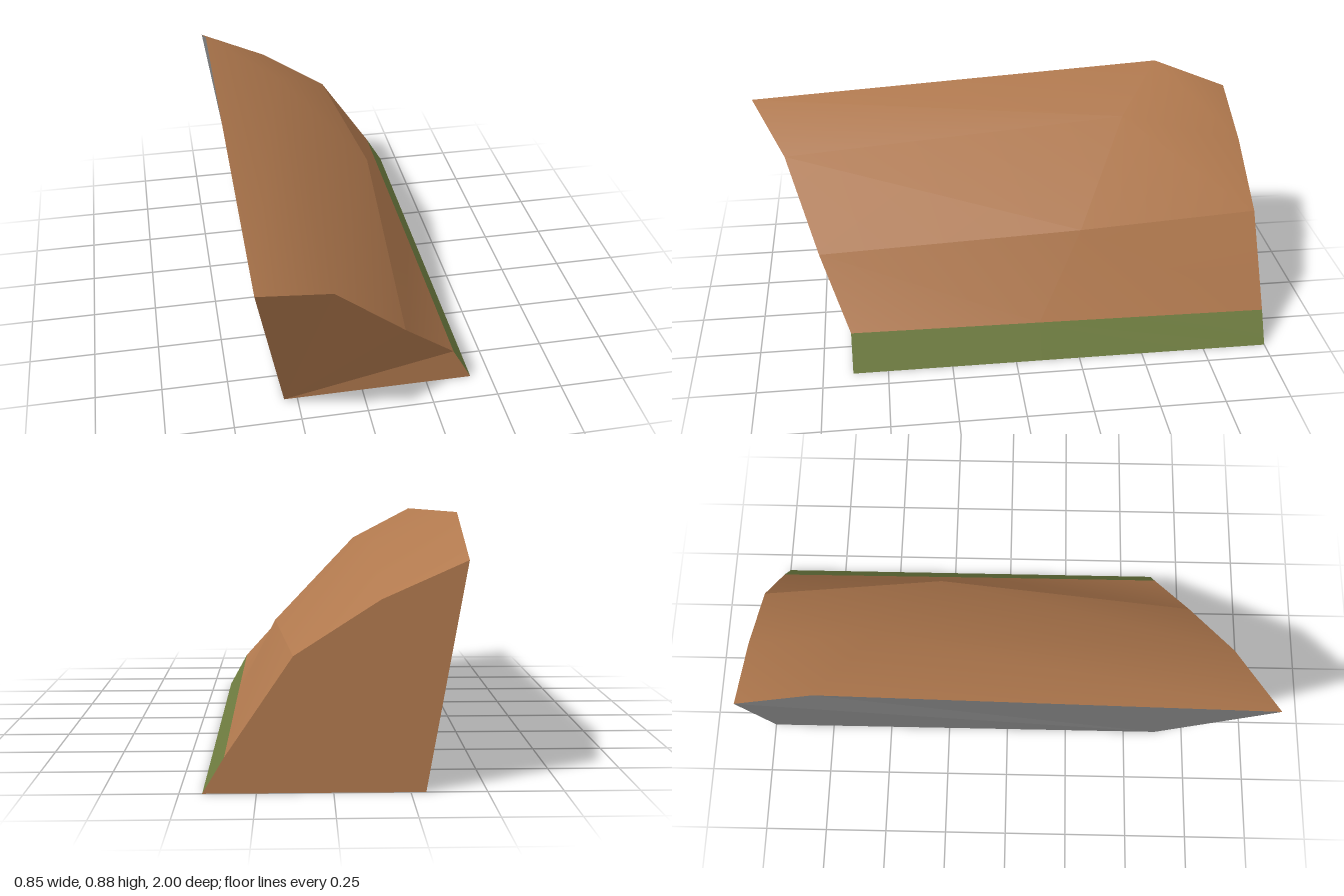
import * as THREE from 'three';

const bark = new THREE.MeshStandardMaterial({ color: 0xb1794e });
bark.name = 'earthBrown';
const grass = new THREE.MeshStandardMaterial({ color: 0x6f7d40 });
grass.name = 'grassGreen';
const stone = new THREE.MeshStandardMaterial({ color: 0x868686 });
stone.name = 'plainGrey';

// Cross-sections from crest to foot, front to back
const rows = [
  [[-0.427, 0.79, 1], [-0.15, 0.66, 0.865], [0.13, 0.365, 0.745], [0.35, 0.137, 0.635], [0.425, 0, 0.635]],
  [[-0.427, 0.885, -0.69], [-0.15, 0.765, -0.5], [0.2, 0.45, -0.28], [0.352, 0.13, -0.1], [0.425, 0, -0.1]],
  [[-0.427, 0.755, -1], [-0.15, 0.631, -1], [0.13, 0.45, -1], [0.353, 0.12, -1], [0.425, 0, -1]],
];
const heelFront = [-0.3, 0, 0.635];
const heelBack = [-0.3, 0, -1];

function addMesh(group, name, geometry, material) {
  geometry.computeVertexNormals();
  const mesh = new THREE.Mesh(geometry, material);
  mesh.name = name;
  group.add(mesh);
}

// Surface over the columns from..to, smooth within itself
function band(from, to) {
  const n = to - from + 1;
  const index = [];
  for (let r = 0; r < rows.length - 1; r++) {
    for (let i = 0; i < n - 1; i++) {
      const a = r * n + i, b = a + 1, d = a + n, c = d + 1;
      index.push(a, b, c, a, c, d);
    }
  }
  const points = rows.flatMap((row) => row.slice(from, to + 1)).flat();
  const geo = new THREE.BufferGeometry();
  geo.setAttribute('position', new THREE.Float32BufferAttribute(points, 3));
  geo.setIndex(index);
  return geo;
}

// Flat-sided polygon as a fan around its first corner
function fan(corners) {
  const points = [];
  for (let i = 1; i < corners.length - 1; i++) {
    points.push(...corners[0], ...corners[i], ...corners[i + 1]);
  }
  const geo = new THREE.BufferGeometry();
  geo.setAttribute('position', new THREE.Float32BufferAttribute(points, 3));
  return geo;
}

export function createModel() {
  const group = new THREE.Group();
  group.name = 'slopedBank';
  const [front, middle, back] = rows;

  // Sloping outside
  addMesh(group, 'upperSlope', band(0, 2), bark);
  addMesh(group, 'lowerSlope', band(2, 3), bark);
  addMesh(group, 'grassStrip', band(3, 4), grass);

  // Ends
  addMesh(group, 'frontEnd', fan([heelFront, ...[...front].reverse()]), bark);
  addMesh(group, 'backEnd', fan([heelBack, ...back]), bark);

  // Inner wall and underside
  addMesh(group, 'innerWall', fan([heelFront, front[0], middle[0], back[0], heelBack]), stone);
  addMesh(group, 'underside', fan([heelFront, heelBack, back[4], front[4]]), stone);
  return group;
}
